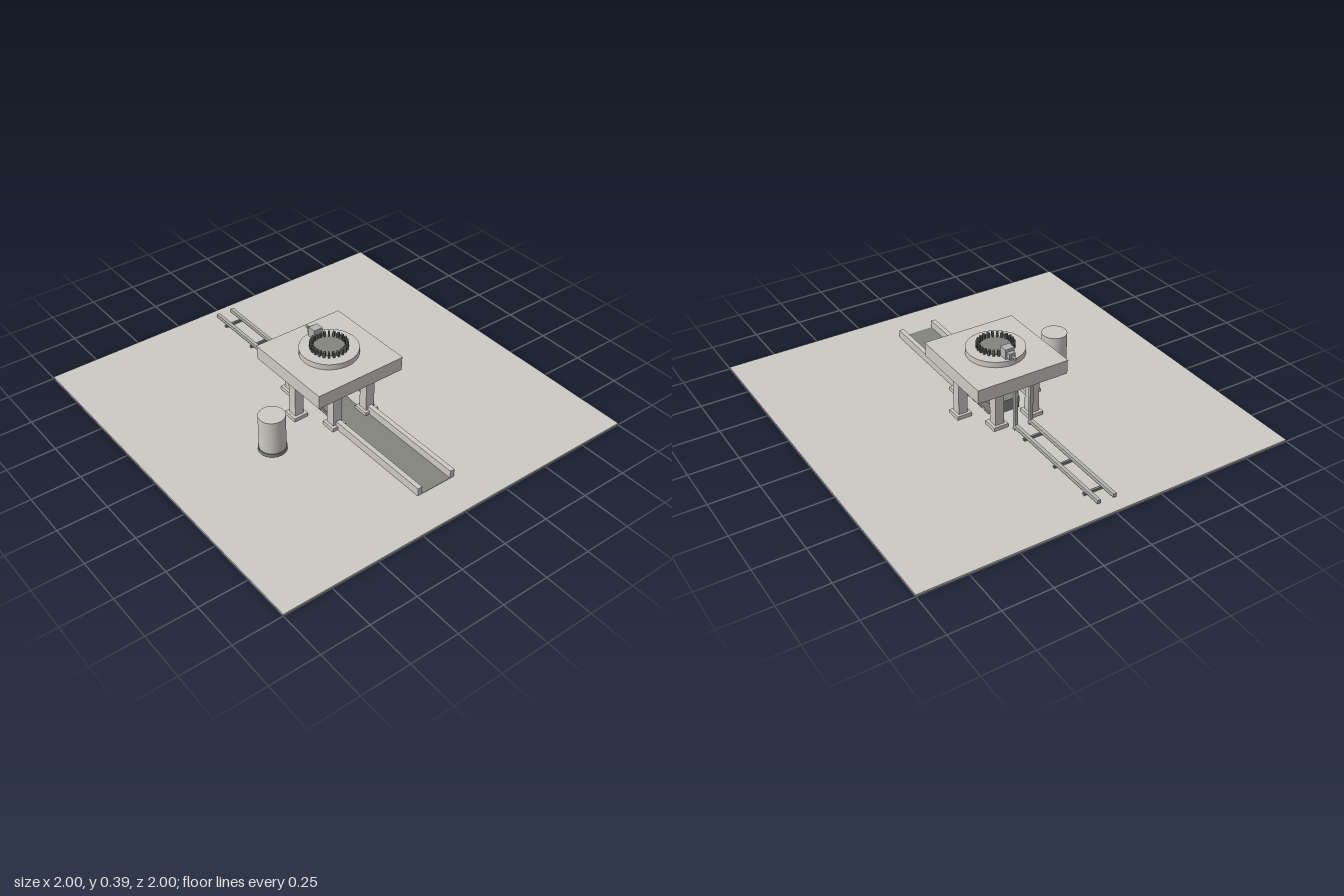
import * as THREE from 'three';

const mat = (color) => new THREE.MeshStandardMaterial({ color });
const concrete = mat(0xcccac3);
const steel = mat(0xb4b4ae);
const dark = mat(0x84847e);
const black = mat(0x5c5c58);

export function createModel() {
  const root = new THREE.Group();

  const add = (name, geometry, material, x = 0, y = 0, z = 0, parent = root) => {
    const mesh = new THREE.Mesh(geometry, material);
    mesh.name = name;
    mesh.position.set(x, y, z);
    parent.add(mesh);
    return mesh;
  };
  // Box given by its min and max along each axis
  const box = (name, material, x0, x1, y0, y1, z0, z1, parent = root) =>
    add(name, new THREE.BoxGeometry(x1 - x0, y1 - y0, z1 - z0), material,
      (x0 + x1) / 2, (y0 + y1) / 2, (z0 + z1) / 2, parent);
  const disc = (name, material, r, y0, y1, x = 0, z = 0) =>
    add(name, new THREE.CylinderGeometry(r, r, y1 - y0, 48), material, x, (y0 + y1) / 2, z);

  // Ground slab with a slot for the trench floor (shape y maps to -z)
  const slab = new THREE.Shape([[-1, -1], [1, -1], [1, 1], [-1, 1]].map(p => new THREE.Vector2(...p)));
  slab.holes.push(new THREE.Path(
    [[-0.085, -0.8], [-0.085, 0.07], [0.085, 0.07], [0.085, -0.8]].map(p => new THREE.Vector2(...p))));
  const ground = new THREE.ExtrudeGeometry(slab, { depth: 0.01, bevelEnabled: false });
  ground.rotateX(-Math.PI / 2);
  add('ground', ground, concrete);

  // Exhaust trench
  box('trenchFloor', dark, -0.085, 0.085, 0, 0.012, -0.07, 0.8);
  for (const s of [-1, 1]) {
    const wall = box('trenchWall', concrete, -0.0125, 0.0125, 0.01, 0.053, 0.2, 0.8);
    wall.position.x = s * 0.0975;
  }

  // Wedge deflector under the deck, rising to the back
  const wedge = new THREE.Shape([[-0.1, 0.012], [0.1, 0.012], [-0.1, 0.076]].map(p => new THREE.Vector2(...p)));
  const wedgeGeometry = new THREE.ExtrudeGeometry(wedge, { depth: 0.15, bevelEnabled: false });
  wedgeGeometry.translate(0, 0, -0.075).rotateY(-Math.PI / 2);
  add('deflector', wedgeGeometry, dark);

  // Six legs on square footings
  for (let i = 0; i < 6; i++) {
    const a = (i * Math.PI) / 3;
    const leg = new THREE.Group();
    leg.name = 'leg';
    leg.position.set(0.2 * Math.cos(a), 0, 0.2 * Math.sin(a));
    box('footing', concrete, -0.04, 0.04, 0.01, 0.03, -0.04, 0.04, leg);
    box('post', concrete, -0.025, 0.025, 0.03, 0.23, -0.025, 0.025, leg);
    root.add(leg);
  }

  // Deck, mounting ring and central plate
  box('deck', concrete, -0.25, 0.25, 0.23, 0.298, -0.25, 0.25);
  box('deckPlate', concrete, -0.252, 0.252, 0.298, 0.305, -0.252, 0.252);
  disc('mountRing', concrete, 0.148, 0.305, 0.335);
  disc('centrePlate', dark, 0.08, 0.335, 0.338);

  // Circle of upright clamps
  const count = 24;
  for (let i = 0; i < count; i++) {
    const a = ((i + 0.5) / count) * Math.PI * 2;
    const clamp = add('clamp', new THREE.BoxGeometry(0.018, 0.027, 0.011), black,
      0.087 * Math.cos(a), 0.3485, 0.087 * Math.sin(a));
    clamp.rotation.y = -a;
  }

  // Service box with a nozzle at its back
  box('serviceBox', steel, -0.025, 0.025, 0.335, 0.388, -0.13, -0.085);
  box('serviceCoupling', steel, -0.017, 0.017, 0.342, 0.372, -0.15, -0.13);
  box('serviceNozzle', steel, -0.005, 0.005, 0.35, 0.36, -0.182, -0.15);

  // Twin pipes running back from the deck, with risers and ties
  for (const s of [-1, 1]) {
    const x = s * 0.043;
    box('pipeRun', steel, x - 0.009, x + 0.009, 0.022, 0.04, -0.93, -0.257);
    box('pipeRiser', steel, x - 0.009, x + 0.009, 0.012, 0.23, -0.257, -0.241);
  }
  for (const z of [-0.35, -0.6, -0.835]) {
    box('pipeTie', dark, -0.06, 0.06, 0.01, 0.023, z - 0.006, z + 0.006);
  }

  // Storage tank on a dark plinth
  disc('tankBase', dark, 0.07, 0.01, 0.028, -0.435, 0.13);
  disc('tank', concrete, 0.066, 0.028, 0.21, -0.435, 0.13);

  return root;
}
